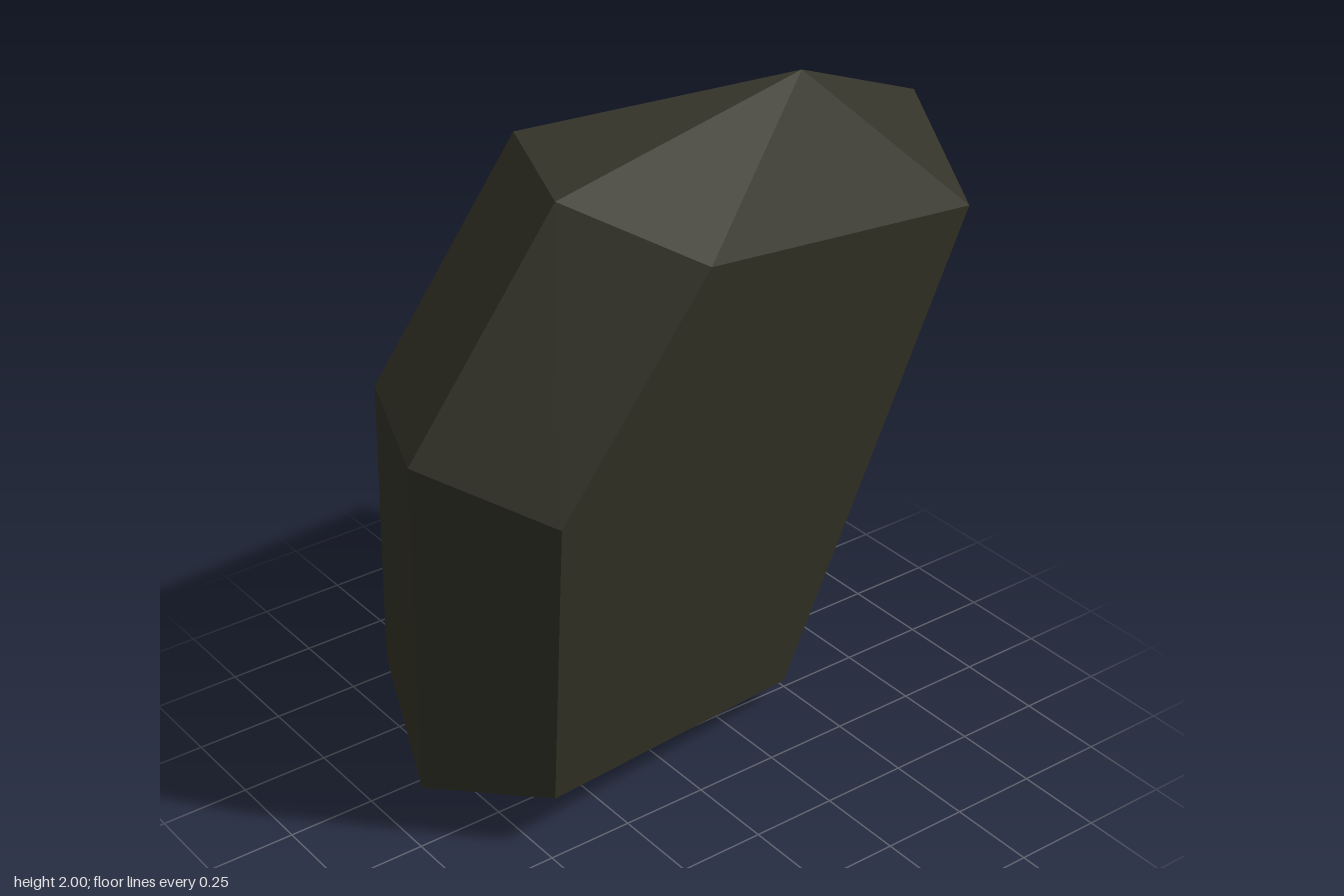
import * as THREE from 'three';
import { ConvexGeometry } from 'three/addons/geometries/ConvexGeometry.js';

const v = (x, y, z) => new THREE.Vector3(x, y, z);

export function createModel() {
  const group = new THREE.Group();
  group.name = 'rock';

  const darkStone = new THREE.MeshStandardMaterial({ color: 0x343328, flatShading: true });
  darkStone.name = 'darkStone';

  // Five-sided front face of the leaning slab
  const front = [
    v(-0.24, 1.78, 0.57), v(0.78, 1.58, 0.353), v(0.437, 0.087, 0.073),
    v(-0.487, 0.19, 0.252), v(-0.622, 1.175, 0.497),
  ];

  // The back face repeats the front, shifted through the slab
  const back = front.map((p) => p.clone().add(v(-0.108, 0.148, -0.642)));

  // Wider belt around the middle that gives the bevelled rim
  const belt = [
    v(-0.482, 1.91, 0.292), v(0.35, 2.0, 0.175), v(0.86, 1.78, 0.035),
    v(0.857, 0.99, -0.142), v(0.482, 0.0, -0.3), v(-0.705, 0.14, -0.055),
    v(-0.866, 1.3, 0.217),
  ];

  const slab = new THREE.Mesh(new ConvexGeometry([...front, ...belt, ...back]), darkStone);
  slab.name = 'stoneSlab';
  group.add(slab);
  return group;
}
